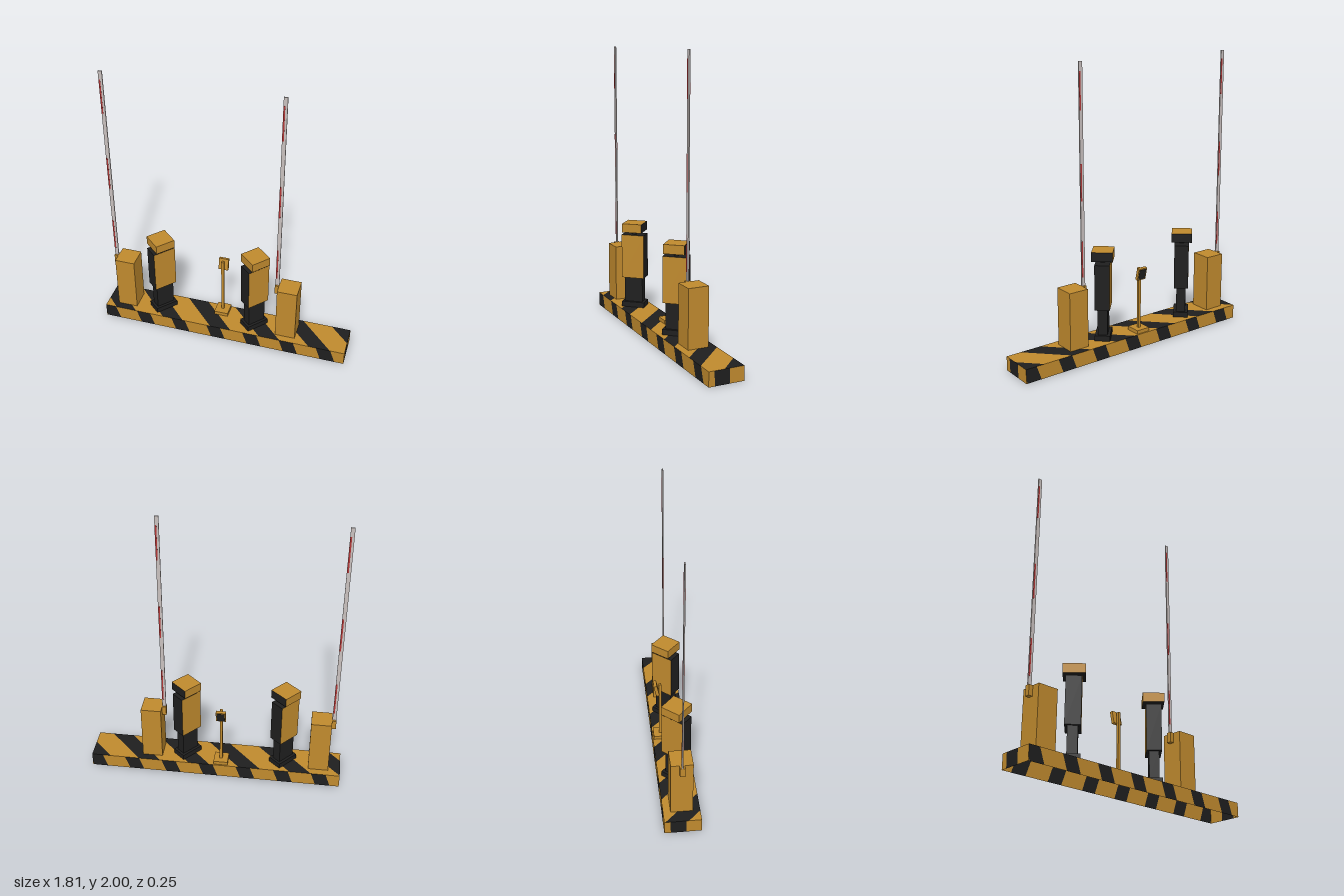
import * as THREE from 'three';

const mat = (name, color, side = THREE.FrontSide) => {
  const m = new THREE.MeshStandardMaterial({ color, side });
  m.name = name;
  return m;
};

export function createModel() {
  const amber = mat('amber', 0xc08a2e, THREE.DoubleSide);
  const black = mat('black', 0x1f1f1f, THREE.DoubleSide);
  const grey = mat('paleGrey', 0xc8c0be);
  const red = mat('red', 0xb03535);

  const model = new THREE.Group();
  model.name = 'gateIsland';

  // Box given by its size, centre x/z and bottom y
  function box(parent, name, material, [w, h, d], x, bottom, z) {
    const mesh = new THREE.Mesh(new THREE.BoxGeometry(w, h, d), material);
    mesh.name = name;
    mesh.position.set(x, bottom + h / 2, z);
    parent.add(mesh);
    return mesh;
  }

  // Keep the part of a convex outline where side * x <= limit
  function clip(points, side, limit) {
    const out = [];
    points.forEach((a, i) => {
      const b = points[(i + 1) % points.length];
      const da = side * a.x - limit, db = side * b.x - limit;
      if (da <= 0) out.push(a);
      if (da * db < 0) out.push(a.clone().lerp(b, da / (da - db)));
    });
    return out;
  }

  // Thin w by h panel tiled with slanted bands; start is the left edge of one black band at the top
  function panel(name, w, h, start, period, width, shift) {
    const group = new THREE.Group();
    group.name = name;
    const band = (x, size, material, label) => {
      const outline = [[x, h / 2], [x + shift, -h / 2], [x + shift + size, -h / 2], [x + size, h / 2]]
        .map(([a, b]) => new THREE.Vector2(a, b));
      const p = clip(clip(outline, 1, w / 2), -1, w / 2);
      if (p.length < 3) return;
      const mesh = new THREE.Mesh(new THREE.ShapeGeometry(new THREE.Shape(p)), material);
      mesh.name = label;
      group.add(mesh);
    };
    const first = start - Math.ceil((start + w / 2 + period + shift) / period) * period;
    for (let x = first; x < w / 2; x += period) {
      band(x, width, black, 'blackStripe');
      band(x + width, period - width, amber, 'amberStripe');
    }
    model.add(group);
    return group;
  }

  // Hollow striped island base, open underneath
  const L = 1.812, H = 0.1, D = 0.248;
  for (const s of [1, -1]) {
    const long = panel(s > 0 ? 'baseFront' : 'baseBack', L, H, -0.66, 0.272, 0.105, 0.035);
    long.position.set(0, H / 2, s * D / 2);
    long.rotation.y = s > 0 ? 0 : Math.PI;
    const end = panel(s > 0 ? 'baseLeftEnd' : 'baseRightEnd', D, H, -0.085, 0.272, 0.105, 0.004);
    end.position.set(s * L / 2, H / 2, 0);
    end.rotation.y = s * Math.PI / 2;
  }
  const top = panel('baseTop', L, D, -0.7, 0.367, 0.155, 0.245);
  top.rotation.x = -Math.PI / 2;
  top.position.y = H;

  const floor = H + 0.001;

  // Barrier cabinet with bracket and raised arm
  function barrier(x) {
    const g = new THREE.Group();
    g.name = 'barrier';
    g.position.x = x;
    box(g, 'cabinet', amber, [0.144, 0.41, 0.148], 0, floor, 0);
    box(g, 'armBracket', amber, [0.03, 0.07, 0.034], -0.086, 0.441, 0);
    box(g, 'raisedArm', grey, [0.027, 1.49, 0.008], -0.086, 0.51, 0);
    for (const y of [0.571, 1.095, 1.69])
      for (const s of [1, -1])
        box(g, 'armMarking', red, [0.011, 0.25, 0.001], -0.086 - s * 0.007, y, s * 0.0045);
    model.add(g);
  }
  barrier(-0.748);
  barrier(0.461);

  // Ticket kiosk turned across the island
  function kiosk(x) {
    const g = new THREE.Group();
    g.name = 'kiosk';
    g.position.x = x;
    g.rotation.y = 0.845;
    box(g, 'foot', black, [0.17, 0.038, 0.105], 0, floor, 0);
    box(g, 'column', black, [0.134, 0.19, 0.066], 0, 0.138, 0);
    box(g, 'body', [black, black, black, black, amber, amber], [0.168, 0.322, 0.102], 0, 0.323, 0);
    box(g, 'neck', black, [0.03, 0.024, 0.03], 0, 0.645, 0);
    box(g, 'cap', [black, amber, amber, black, amber, amber], [0.145, 0.064, 0.145], 0, 0.668, 0);
    model.add(g);
  }
  kiosk(-0.488);
  kiosk(0.211);

  // Card reader on a thin stand
  const reader = new THREE.Group();
  reader.name = 'cardReader';
  reader.position.x = -0.045;
  box(reader, 'readerFoot', amber, [0.102, 0.026, 0.106], 0, floor, -0.063);
  box(reader, 'readerStand', amber, [0.02, 0.44, 0.018], 0, 0.127, -0.066);
  const head = new THREE.Group();
  head.name = 'readerHead';
  head.position.set(0, 0.531, -0.092);
  head.rotation.x = -0.22;
  box(head, 'headCase', amber, [0.07, 0.088, 0.022], 0, -0.044, 0);
  box(head, 'headScreen', black, [0.056, 0.074, 0.003], 0, -0.037, -0.0115);
  reader.add(head);
  model.add(reader);

  return model;
}
